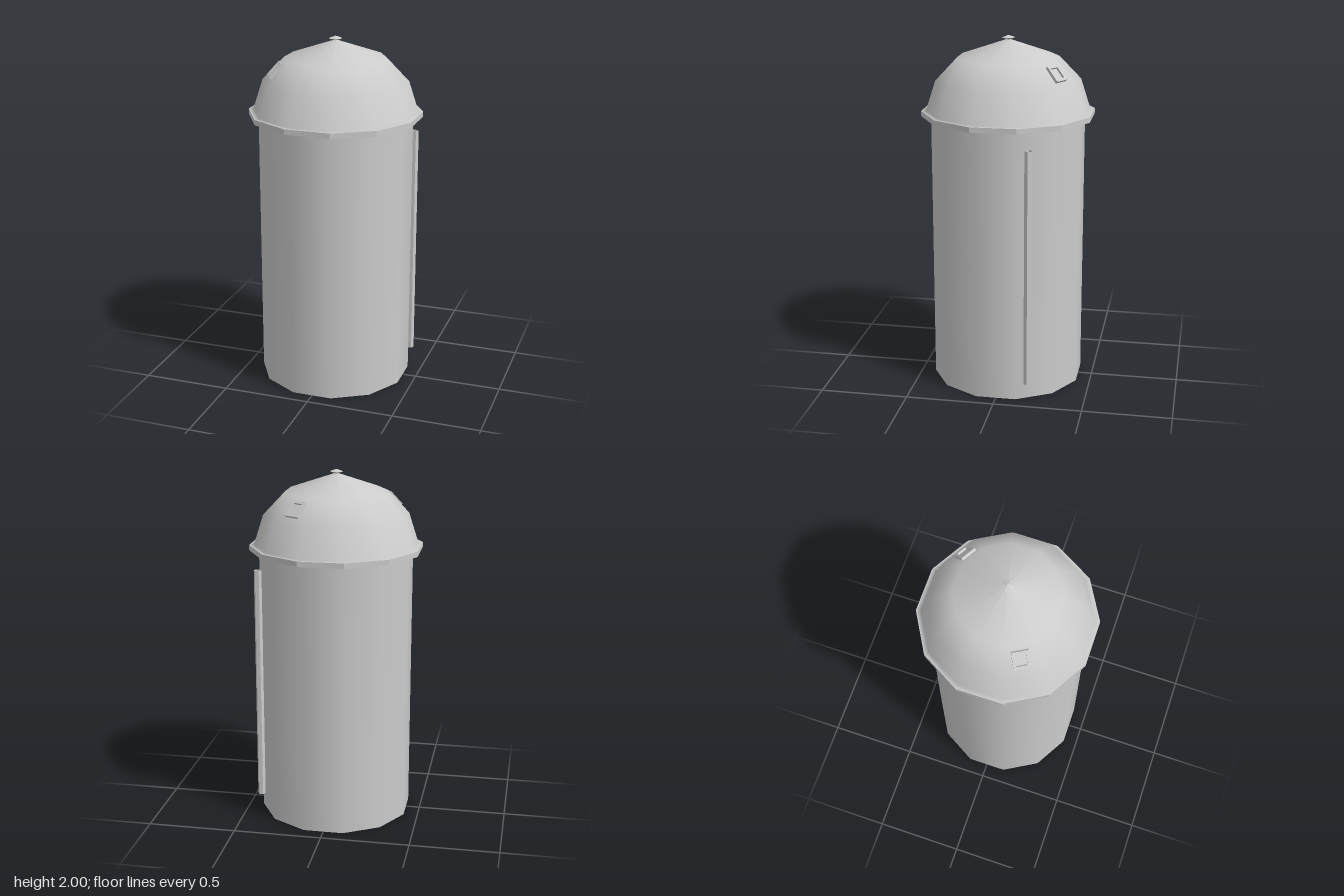
import * as THREE from 'three';

const SIDES = 12;
const TURN = Math.PI / SIDES; // puts flat sides on the x and z axes

export function createModel() {
  const model = new THREE.Group();
  const smooth = new THREE.MeshStandardMaterial({ color: 0xcccccc, side: THREE.DoubleSide });
  const flat = new THREE.MeshStandardMaterial({ color: 0xcccccc, side: THREE.DoubleSide, flatShading: true });

  const add = (name, geometry, material, parent = model) => {
    const mesh = new THREE.Mesh(geometry, material);
    mesh.name = name;
    parent.add(mesh);
    return mesh;
  };
  const lathe = (profile, sides = SIDES, start = TURN) =>
    new THREE.LatheGeometry(profile.map(([r, y]) => new THREE.Vector2(r, y)), sides, start);

  // Open-bottomed cylindrical wall
  add('wall', lathe([[0.435, 0], [0.435, 1.57]]), smooth);

  // Overhanging rim: underside and outer band
  add('rim', lathe([[0.43, 1.55], [0.49, 1.55], [0.49, 1.58]]), flat);

  // Dome, blending softly into the top of the rim
  add('dome', lathe([[0.49, 1.58], [0.463, 1.582], [0.409, 1.75], [0.285, 1.88], [0, 1.98]]), smooth);

  // Small six-sided cap at the peak
  add('peakCap', lathe([[0, 1.972], [0.038, 1.986], [0, 2]], 6, 0.35), flat);

  // Two framed hatches lying on the dome's upper slope
  const w = 0.045, h = 0.05, border = 0.016, depth = 0.022;
  const frame = new THREE.Shape([[-w, -h], [w, -h], [w, h], [-w, h]].map(p => new THREE.Vector2(...p)));
  const iw = w - border, ih = h - border;
  frame.holes.push(new THREE.Path([[-iw, -ih], [-iw, ih], [iw, ih], [iw, -ih]].map(p => new THREE.Vector2(...p))));
  const frameGeometry = new THREE.ExtrudeGeometry(frame, { depth, bevelEnabled: false });
  for (const angle of [-Math.PI / 3, Math.PI * 5 / 6]) {
    const hatch = new THREE.Group();
    hatch.name = 'hatch';
    hatch.rotation.set(-0.75, angle, 0, 'YXZ');
    hatch.position.set(Math.sin(angle) * 0.332, 1.815, Math.cos(angle) * 0.332);
    add('hatchFrame', frameGeometry, flat, hatch).position.z = -0.004;
    add('hatchPane', new THREE.PlaneGeometry(iw * 2, ih * 2), flat, hatch).position.z = 0.006;
    model.add(hatch);
  }

  // Open-ended pipe running up the left side
  const pipe = add('pipe', new THREE.CylinderGeometry(0.022, 0.022, 1.35, 6, 1, true, Math.PI / 2), flat);
  pipe.position.set(0.414, 0.775, -0.18);

  return model;
}
